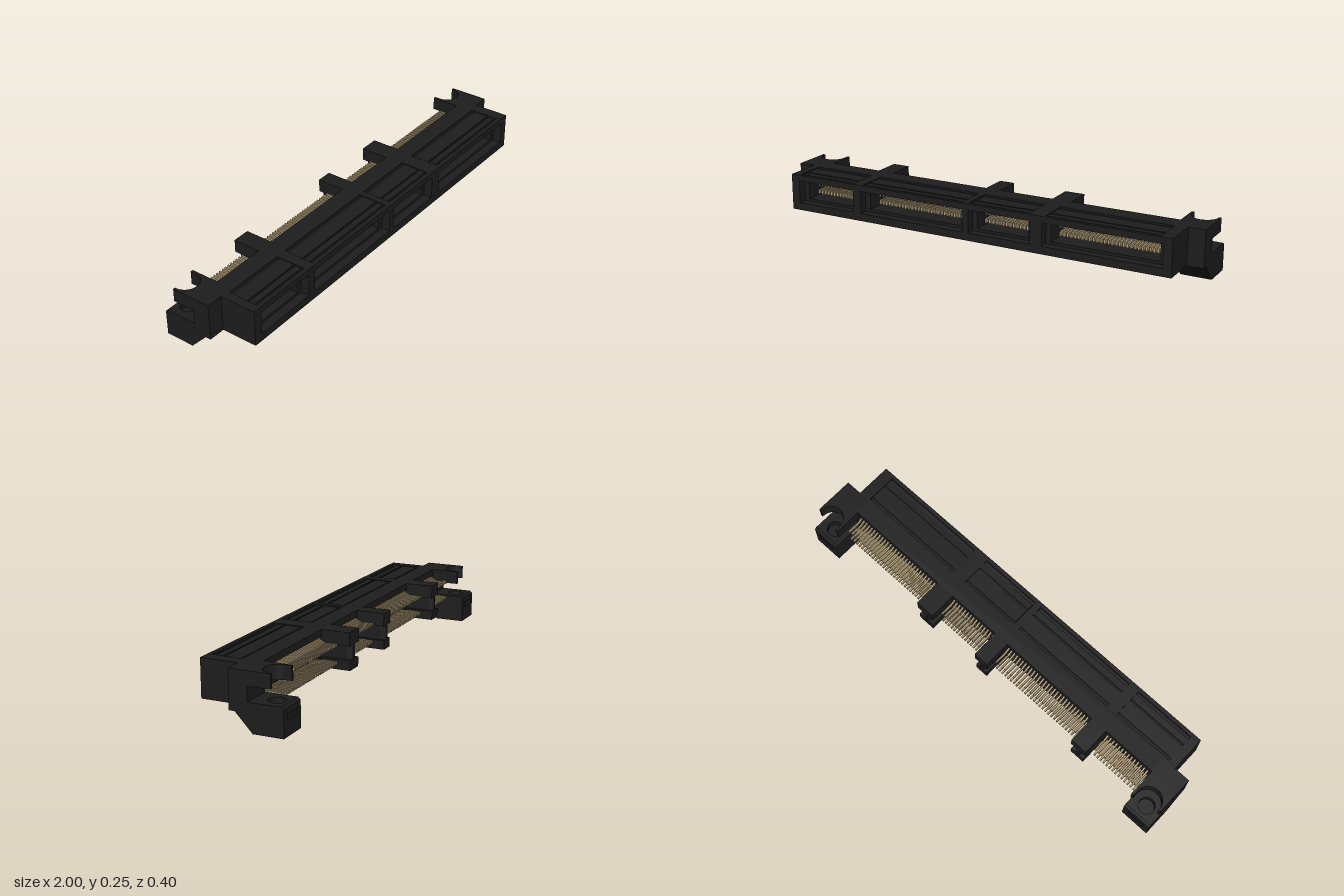
import * as THREE from 'three';
import { mergeGeometries } from 'three/addons/utils/BufferGeometryUtils.js';

const black = new THREE.MeshStandardMaterial({ color: 0x1d1d1d });
black.name = 'black plastic';
const gold = new THREE.MeshStandardMaterial({ color: 0xb29e78 });
gold.name = 'dull gold';

function add(parent, name, geometry, material = black) {
  const mesh = new THREE.Mesh(geometry, material);
  mesh.name = name;
  parent.add(mesh);
  return mesh;
}

// Box given by its limits on each axis
function box(parent, name, [x0, x1], [y0, y1], [z0, z1]) {
  const g = new THREE.BoxGeometry(x1 - x0, y1 - y0, z1 - z0);
  g.translate((x0 + x1) / 2, (y0 + y1) / 2, (z0 + z1) / 2);
  return add(parent, name, g);
}

const polygon = (points) => new THREE.Shape(points.map(([a, b]) => new THREE.Vector2(a, b)));

// Outline in (z, y), extruded from x0 to x1
function extrudeX(points, x0, x1) {
  const g = new THREE.ExtrudeGeometry(polygon(points), { depth: x1 - x0, bevelEnabled: false });
  return g.rotateY(-Math.PI / 2).translate(x1, 0, 0);
}

// Outline in (x, -z), extruded from y0 to y1
function extrudeY(shape, y0, y1) {
  const g = new THREE.ExtrudeGeometry(shape, { depth: y1 - y0, bevelEnabled: false, curveSegments: 20 });
  return g.rotateX(-Math.PI / 2).translate(0, y0, 0);
}

function rectangle(x0, x1, y0, y1, Type = THREE.Shape) {
  const s = new Type();
  s.moveTo(x0, y0);
  s.lineTo(x1, y0);
  s.lineTo(x1, y1);
  s.lineTo(x0, y1);
  s.closePath();
  return s;
}

// Thin bent metal strip following a (z, y) centre line
function strip(line, half, width) {
  const over = line.map(([z, y]) => [z, y + half]);
  const under = line.map(([z, y]) => [z, y - half]).reverse();
  return extrudeX([...over, ...under], -width / 2, width / 2);
}

const slots = [[-0.885, -0.59], [-0.55, -0.03], [0, 0.295], [0.35, 0.885]];
const pinRuns = [[-0.845, -0.625, 14], [-0.51, -0.055, 28], [0.035, 0.27, 15], [0.39, 0.845, 28]];

function buildHousing() {
  const g = new THREE.Group();
  g.name = 'housing';

  // Front shell with four pockets
  const face = rectangle(-0.925, 0.925, 0.09, 0.235);
  for (const [a, b] of slots) face.holes.push(rectangle(a, b, 0.115, 0.217, THREE.Path));
  const shell = new THREE.ExtrudeGeometry(face, { depth: 0.2, bevelEnabled: false });
  add(g, 'shell', shell);
  box(g, 'pocketBack', [-0.9, 0.9], [0.1, 0.23], [-0.005, 0.036]);

  // Narrow inner frame around each pocket
  for (const [a, b] of slots) {
    box(g, 'pocketTopStep', [a, b], [0.205, 0.218], [0.03, 0.16]);
    box(g, 'pocketBottomStep', [a, b], [0.114, 0.127], [0.03, 0.16]);
    box(g, 'pocketLeftStep', [a, a + 0.025], [0.12, 0.21], [0.03, 0.16]);
    box(g, 'pocketRightStep', [b - 0.025, b], [0.12, 0.21], [0.03, 0.16]);
  }

  // Raised rails around shallow panels, above and below
  for (const [y, step] of [[[0.234, 0.245], [0.234, 0.241]], [[0.08, 0.091], [0.084, 0.091]]]) {
    box(g, 'rearBand', [-0.925, 0.925], y, [-0.04, 0.045]);
    box(g, 'frontLip', [-0.925, 0.925], y, [0.182, 0.2]);
    for (const x of [[-0.925, -0.885], [-0.595, -0.545], [-0.035, -0.005], [0.285, 0.36], [0.87, 0.925]])
      box(g, 'rib', x, y, [0.045, 0.182]);
    for (const x of slots) {
      box(g, 'panelStep', x, step, [0.138, 0.168]);
      box(g, 'panelField', x, step, [0.058, 0.13]);
    }
  }

  // Rear mouth around the board slot
  box(g, 'rearUpperWall', [-0.925, 0.925], [0.215, 0.235], [-0.04, 0]);
  box(g, 'rearLowerWall', [-0.925, 0.925], [0.09, 0.108], [-0.04, 0]);
  box(g, 'boardStop', [-0.865, 0.865], [0.13, 0.185], [-0.035, 0]);
  for (const s of [-1, 1])
    box(g, 'rearSideWall', s < 0 ? [-0.925, -0.865] : [0.865, 0.925], [0.1, 0.22], [-0.04, 0]);
  return g;
}

// Rear posts that straddle the board edge, with a tapered web
function buildPost(x0, x1) {
  const g = new THREE.Group();
  g.name = 'guidePost';
  const mid = (x0 + x1) / 2;
  box(g, 'postTop', [x0, x1], [0.187, 0.245], [-0.167, -0.03]);
  add(g, 'postWeb', extrudeY(polygon([[mid - 0.02, 0], [mid + 0.02, 0], [mid + 0.02, 0.145],
    [mid + 0.008, 0.166], [mid - 0.008, 0.166], [mid - 0.02, 0.145]]), 0.11, 0.2));
  box(g, 'postBottom', [x0 + 0.005, x1 - 0.005], [0.082, 0.123], [-0.167, -0.03]);
  return g;
}

function buildEar() {
  const g = new THREE.Group();
  g.name = 'mountingEar';
  const x0 = 0.863, x1 = 1, cx = 0.932;

  // Bracket with sloped underside
  add(g, 'bracket', extrudeX([[0.035, 0.08], [0.035, 0.245], [-0.045, 0.245], [-0.045, 0.123],
    [-0.066, 0.123], [-0.066, 0], [0.01, 0.08]].reverse(), x0, x1));

  // Foot with blind screw holes and chamfered rear edge
  const outline = () => {
    const s = rectangle(x0, x1, 0.065, 0.197);
    s.holes.push(new THREE.Path().absarc(cx, 0.135, 0.036, 0, Math.PI * 2, true));
    return s;
  };
  add(g, 'foot', extrudeY(outline(), 0, 0.113));
  const cap = extrudeY(outline(), 0.113, 0.123);
  const p = cap.attributes.position;
  for (let i = 0; i < p.count; i++)
    if (p.getZ(i) < -0.19 && p.getY(i) > 0.12) p.setZ(i, -0.187);
  cap.computeVertexNormals();
  add(g, 'footChamfer', cap);
  add(g, 'holeFloor', new THREE.CylinderGeometry(0.037, 0.037, 0.06, 24).translate(cx, 0.06, -0.135));
  box(g, 'footNub', [0.89, 0.975], [0.065, 0.09], [-0.2, -0.19]);

  // Upper plate with a round clearance notch and a shorter outer prong
  const plate = new THREE.Shape();
  plate.moveTo(x0, 0.04);
  plate.lineTo(x1, 0.04);
  plate.lineTo(x1, 0.145);
  plate.lineTo(cx + 0.057, 0.145);
  plate.lineTo(cx + 0.057, 0.14);
  plate.absarc(cx, 0.14, 0.057, 0, -Math.PI, true);
  plate.lineTo(cx - 0.057, 0.167);
  plate.lineTo(x0, 0.167);
  plate.closePath();
  add(g, 'notchedPlate', extrudeY(plate, 0.185, 0.245));
  return g;
}

// Two rows of contacts in front and bent tails behind
function buildPins() {
  const shapes = [
    strip([[0.02, 0.186], [0.105, 0.186]], 0.01, 0.009),
    strip([[0.02, 0.148], [0.105, 0.148]], 0.01, 0.009),
    strip([[-0.12, 0.193], [-0.065, 0.19], [-0.035, 0.207], [0, 0.207]], 0.006, 0.0075),
    strip([[-0.12, 0.115], [-0.065, 0.118], [-0.035, 0.115], [0, 0.115]], 0.006, 0.0075),
  ];
  const all = [];
  for (const [a, b, n] of pinRuns)
    for (let i = 0; i < n; i++)
      for (const s of shapes) all.push(s.clone().translate(a + (b - a) * i / (n - 1), 0, 0));
  return mergeGeometries(all);
}

export function createModel() {
  const model = new THREE.Group();
  model.name = 'edgeConnector';
  model.add(buildHousing());
  for (const [a, b] of [[-0.61, -0.53], [-0.045, 0.025], [0.28, 0.37]]) model.add(buildPost(a, b));
  for (const s of [1, -1]) {
    const ear = buildEar();
    ear.scale.x = s;
    model.add(ear);
  }
  add(model, 'contactPins', buildPins(), gold);
  return model;
}
